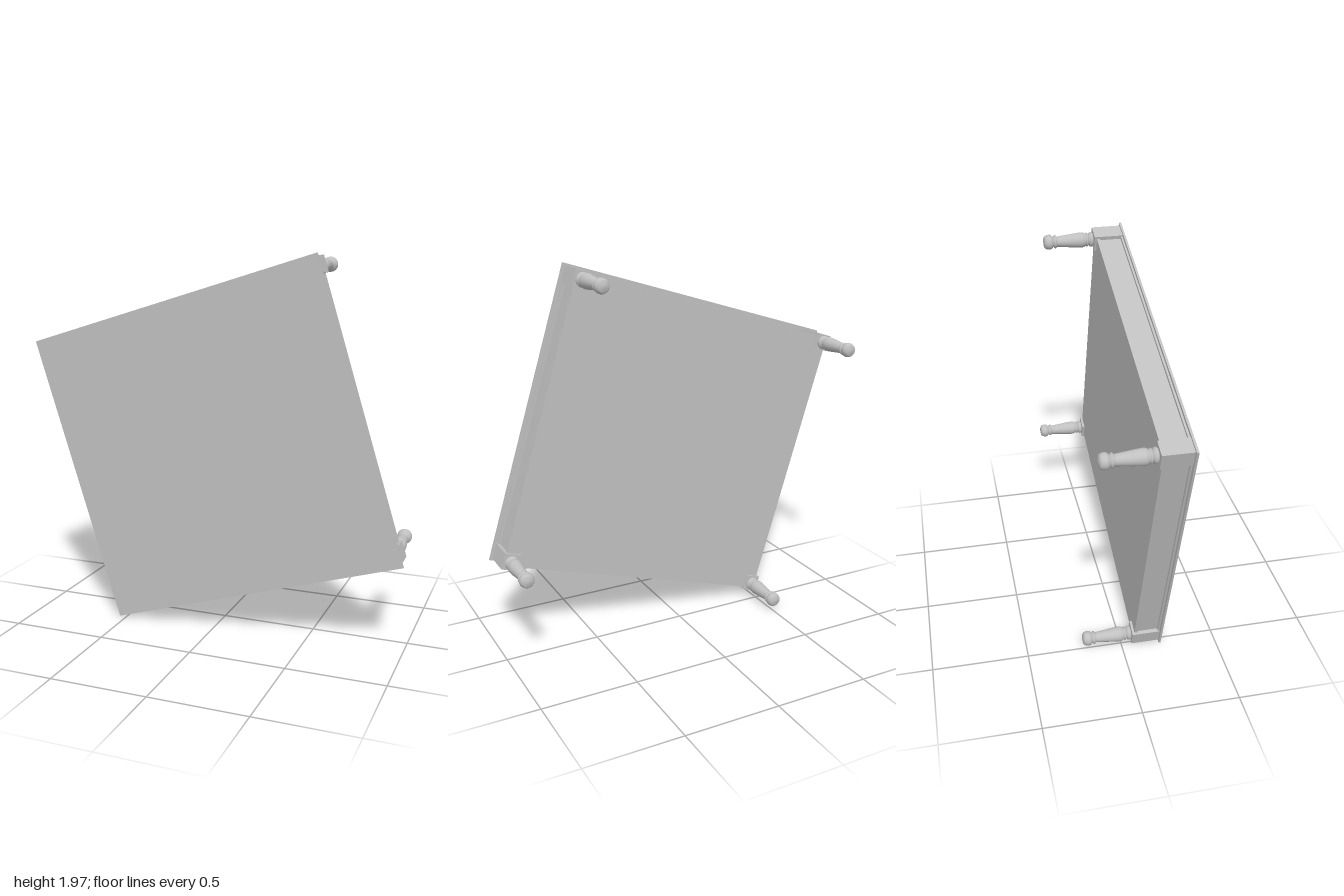
import * as THREE from 'three';

export function createModel() {
  const grey = new THREE.MeshStandardMaterial({ color: 0xc0c0c0 });
  grey.name = 'plain grey';
  const table = new THREE.Group();
  table.name = 'tippedTable';

  // box given by its centre in the table plane and its depth range
  function box(name, w, h, x, y, z0, z1) {
    const m = new THREE.Mesh(new THREE.BoxGeometry(w, h, z1 - z0), grey);
    m.name = name;
    m.position.set(x, y, (z0 + z1) / 2);
    table.add(m);
  }

  const legX = 0.75, legY = 0.727, block = 0.086;
  const apronX = legX + block / 2 - 0.02, apronY = legY + block / 2 - 0.02;

  // thin top, and the closed frame below it
  box('tableTop', 1.612, 1.56, 0, 0, 0.199, 0.21);
  box('apron', apronX * 2, apronY * 2, 0, 0, 0.064, 0.199);

  // slim mouldings along the apron edges
  for (const s of [-1, 1]) {
    for (const [name, z0, z1, out] of [['topMoulding', 0.189, 0.199, 0.014], ['lowerMoulding', 0.064, 0.08, 0.007]]) {
      box(name, legX * 2 - block, out, 0, s * (apronY + out / 2), z0, z1);
      box(name, out, legY * 2 - block, s * (apronX + out / 2), 0, z0, z1);
    }
  }

  // turned leg profile: radius, distance from the corner block
  const profile = [
    [0, 0], [0.029, 0], [0.035, 0.004], [0.038, 0.012], [0.035, 0.02], [0.028, 0.023],
    [0.028, 0.027], [0.034, 0.029], [0.036, 0.034], [0.033, 0.039], [0.029, 0.041],
    [0.036, 0.048], [0.039, 0.06], [0.038, 0.08], [0.035, 0.11], [0.031, 0.145],
    [0.027, 0.183], [0.026, 0.193], [0.032, 0.195], [0.034, 0.2], [0.032, 0.206],
    [0.027, 0.208], [0.027, 0.213], [0.034, 0.217], [0.038, 0.226], [0.038, 0.238],
    [0.034, 0.25], [0.026, 0.258], [0, 0.262],
  ].map(([r, d]) => new THREE.Vector2(r, d));
  const legGeometry = new THREE.LatheGeometry(profile, 32);
  legGeometry.rotateX(-Math.PI / 2);

  // corner blocks with turned legs pointing backwards
  for (const sx of [-1, 1]) {
    for (const sy of [-1, 1]) {
      box('cornerBlock', block, block, sx * legX, sy * legY, 0.052, 0.199);
      const leg = new THREE.Mesh(legGeometry, grey);
      leg.name = 'leg';
      leg.position.set(sx * legX, sy * legY, 0.052);
      table.add(leg);
    }
  }

  // stand the table on one corner
  table.rotation.z = THREE.MathUtils.degToRad(17.25);
  table.position.y = 0.985;
  const model = new THREE.Group();
  model.name = 'table';
  model.add(table);
  return model;
}
